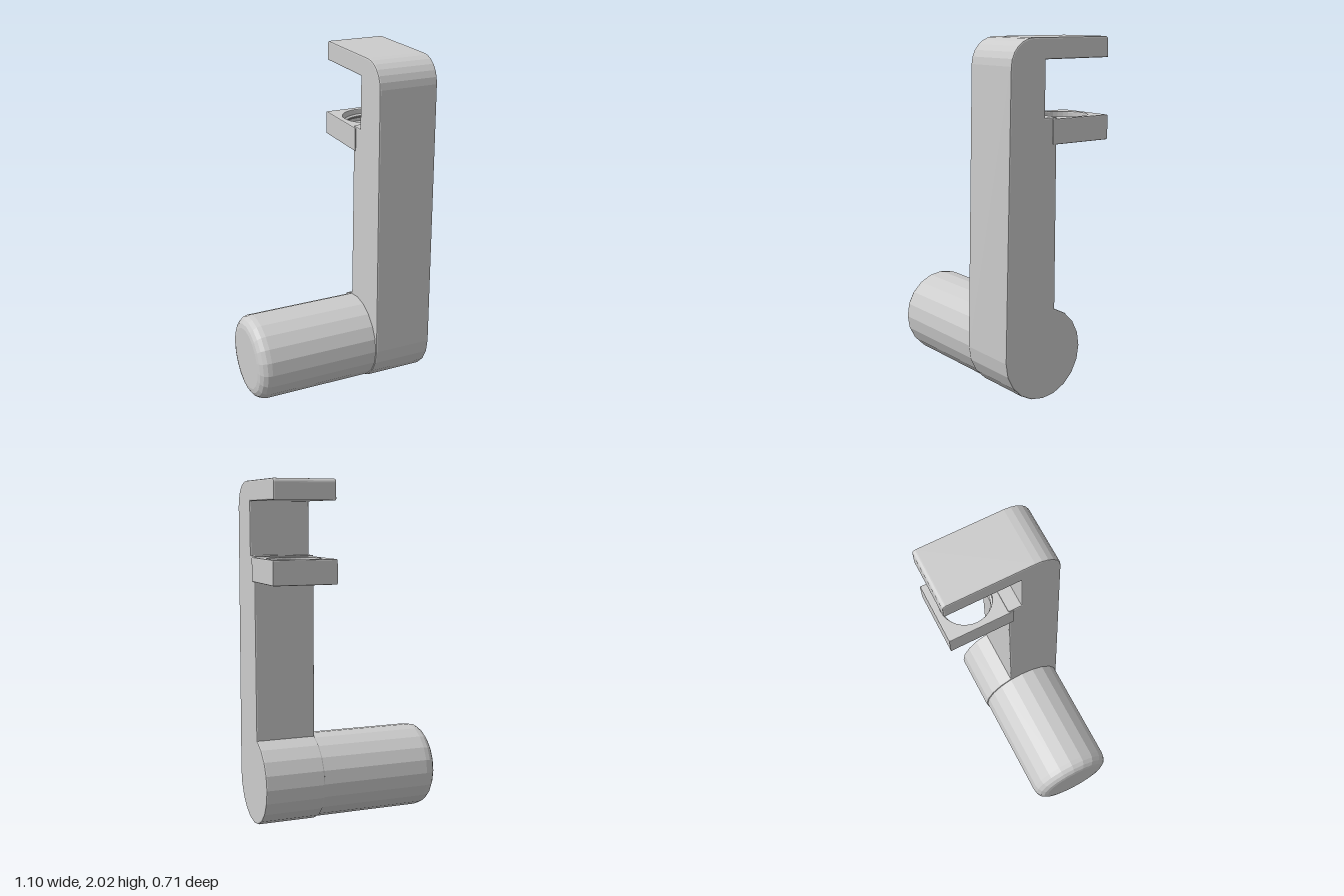
import * as THREE from 'three';

const material = new THREE.MeshStandardMaterial({ color: 0xcccccc, flatShading: true, side: THREE.DoubleSide });
const RADIUS = 0.255, AXIS_Y = 0.255, AXIS_Z = 0.09; // peg and lug share this axis
const X0 = 0.185, X1 = 0.545, MID_X = (X0 + X1) / 2, BACK = -0.345;

function part(name, geometry) {
  const mesh = new THREE.Mesh(geometry, material);
  mesh.name = name;
  return mesh;
}

// Side profile (z, y) of the arm with round lug and top shelf, extruded along x
function armGeometry() {
  const s = new THREE.Shape();
  s.moveTo(0.02, 0.5);
  for (let d = 108; d <= 360; d += 18) {
    const a = THREE.MathUtils.degToRad(d);
    s.lineTo(AXIS_Z + RADIUS * Math.cos(a), AXIS_Y + RADIUS * Math.sin(a));
  }
  s.lineTo(0.315, 1.86);
  s.bezierCurveTo(0.313, 1.94, 0.25, 2, 0.17, 2);
  s.lineTo(BACK + 0.015, 2);
  s.quadraticCurveTo(BACK, 2, BACK, 1.985);
  s.lineTo(BACK, 1.9);
  s.lineTo(0.1, 1.9);
  s.lineTo(0.1, 1.575);
  s.lineTo(0.02, 1.575);
  const b = 0.008;
  const g = new THREE.ExtrudeGeometry(s, {
    depth: X1 - X0 - 2 * b, bevelSize: b, bevelThickness: b, bevelSegments: 2, curveSegments: 6,
  });
  return g.rotateY(-Math.PI / 2).translate(X1 - b, 0, 0);
}

// Round peg with a rounded free end
function pegGeometry() {
  const f = 0.07, pts = [new THREE.Vector2(0, -0.55)];
  for (let i = 0; i <= 4; i++) {
    const a = (i / 4) * Math.PI / 2;
    pts.push(new THREE.Vector2(RADIUS - f + f * Math.sin(a), -0.55 + f - f * Math.cos(a)));
  }
  pts.push(new THREE.Vector2(RADIUS, 0.2));
  return new THREE.LatheGeometry(pts, 20).rotateZ(-Math.PI / 2).translate(0, AXIS_Y, AXIS_Z);
}

const HOLE_R = 0.155, HOLE_Z = BACK + 0.18;

// Clamp plate with a chamfered hole through it
function plateGeometry() {
  const s = new THREE.Shape();
  s.moveTo(X0, BACK);
  s.lineTo(X1, BACK);
  s.lineTo(X1, 0.035);
  s.lineTo(X0, 0.035);
  const hole = new THREE.Path();
  hole.absarc(MID_X, HOLE_Z, HOLE_R, 0, Math.PI * 2, true);
  s.holes.push(hole);
  const b = 0.006;
  const g = new THREE.ExtrudeGeometry(s, {
    depth: 0.14 - 2 * b, bevelSize: b, bevelThickness: b, bevelSegments: 2, curveSegments: 16,
  });
  return g.rotateX(Math.PI / 2).translate(0, 1.575 - b, 0);
}

// Helical ridge inside the hole, tapering out at both ends
function threadGeometry() {
  const steps = 32, turns = 2.3, pitch = 0.045, n = Math.round(steps * turns);
  const pos = [], index = [];
  for (let i = 0; i <= n; i++) {
    const a = (i / steps) * Math.PI * 2;
    const y = 1.505 + (i / steps - turns / 2) * pitch;
    const k = Math.min(1, i / 4, (n - i) / 4);
    for (const [r, dy] of [[HOLE_R + 0.002, -0.018], [HOLE_R - 0.018 * k, -0.003], [HOLE_R - 0.018 * k, 0.003], [HOLE_R + 0.002, 0.018]]) {
      pos.push(MID_X + r * Math.cos(a), y + dy, HOLE_Z + r * Math.sin(a));
    }
    if (i === n) break;
    for (let j = 0; j < 3; j++) {
      const p = i * 4 + j;
      index.push(p, p + 4, p + 1, p + 1, p + 4, p + 5);
    }
  }
  const g = new THREE.BufferGeometry();
  g.setAttribute('position', new THREE.Float32BufferAttribute(pos, 3));
  g.setIndex(index);
  g.computeVertexNormals();
  return g;
}

export function createModel() {
  const group = new THREE.Group();
  group.name = 'clampHook';
  group.add(
    part('arm', armGeometry()),
    part('peg', pegGeometry()),
    part('clampPlate', plateGeometry()),
    part('screwThread', threadGeometry()),
  );
  return group;
}
